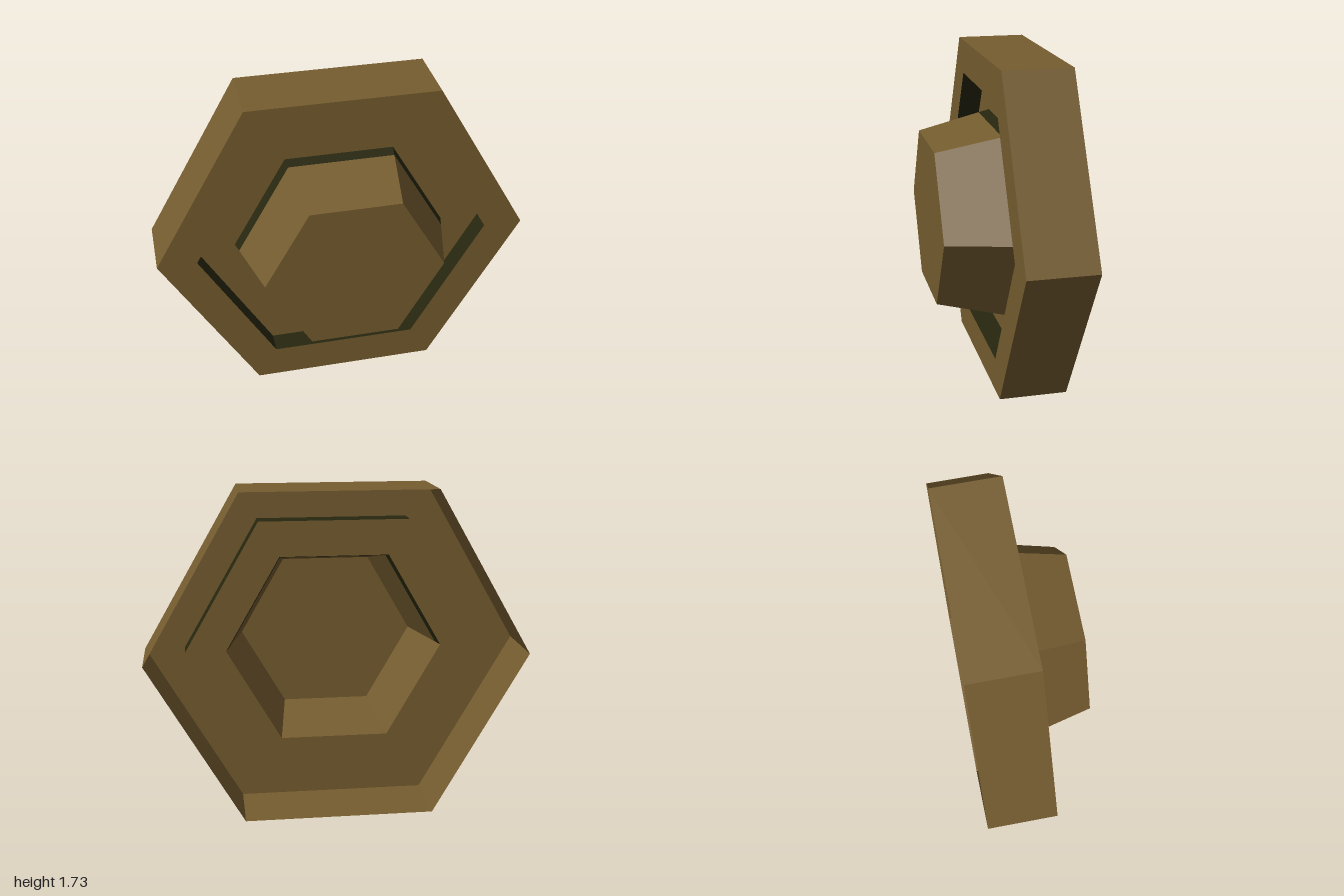
import * as THREE from 'three';

const options = { flatShading: true, side: THREE.DoubleSide };
const bronze = new THREE.MeshStandardMaterial({ name: 'bronze', color: 0x765d30, ...options });
const darkOlive = new THREE.MeshStandardMaterial({ name: 'darkOlive', color: 0x26260f, ...options });

const BACK = -0.32, FLOOR = -0.08, BAND = -0.02, RIM = 0.04, FRONT = 0.32;
const HALF = Math.PI / 2;

export function createModel() {
  const model = new THREE.Group();
  model.name = 'hexagonalCap';

  function add(name, geometry, material, z) {
    const mesh = new THREE.Mesh(geometry, material);
    mesh.name = name;
    mesh.position.set(0, Math.sqrt(3) / 2, z);
    model.add(mesh);
  }

  // Open hexagonal wall between two depths; 'sides' counts on from 'start'
  function wall(name, material, zBack, rBack, zFront, rFront, sides = 6, start = HALF) {
    const geometry = new THREE.CylinderGeometry(
      rFront, rBack, zFront - zBack, sides, 1, true, start, sides * Math.PI / 3);
    geometry.rotateX(HALF);
    add(name, geometry, material, (zBack + zFront) / 2);
  }

  // Outer shell, open at the back
  wall('outerWall', bronze, BACK, 1, RIM, 1);
  add('frontRim', new THREE.RingGeometry(0.79, 1, 6), bronze, RIM);

  // Sunken channel around the hub
  wall('channelWall', darkOlive, FLOOR, 0.79, RIM, 0.79);
  add('channelFloor', new THREE.RingGeometry(0.575, 0.79, 6), bronze, FLOOR);

  // Tapered hollow hub, with a dark band at the foot of its upper sides
  wall('hubBand', darkOlive, FLOOR, 0.575, BAND, 0.56, 3, HALF);
  wall('hubUpperSides', bronze, BAND, 0.56, FRONT, 0.475, 3, HALF);
  wall('hubLowerSides', bronze, FLOOR, 0.575, FRONT, 0.475, 3, -HALF);
  add('hubFace', new THREE.CircleGeometry(0.475, 6), bronze, FRONT);

  return model;
}
